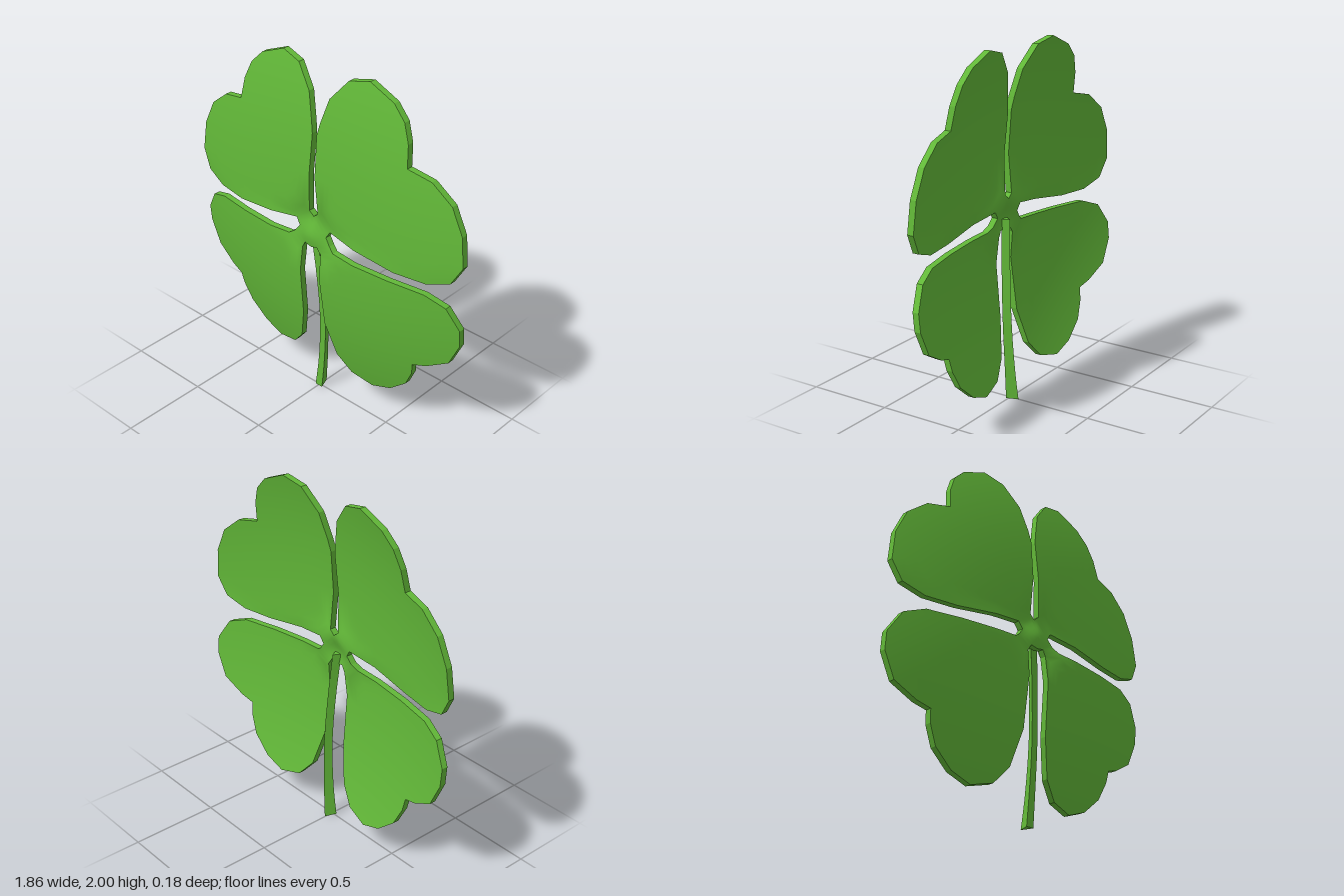
import * as THREE from 'three';
import { toCreasedNormals } from 'three/addons/utils/BufferGeometryUtils.js';

const THICKNESS = 0.037;
const HUB_Y = 1.05;

// Front surface of the clover: a shallow dome falling away from the hub
function depth(x, y) {
  const r = Math.hypot(x, y - HUB_Y);
  const k = THREE.MathUtils.smoothstep(y, 0.95, 1.15);
  const upper = 0.07 - 0.115 * r ** 2.6;
  const lower = 0.09 - 0.15 * r ** 2.2;
  const dip = 0.022 * Math.exp(-(((r - 0.11) / 0.07) ** 2));
  return THREE.MathUtils.lerp(lower, upper, k) - dip;
}

function surfaceNormal(x, y, side) {
  const e = 0.004;
  const dx = (depth(x + e, y) - depth(x - e, y)) / (2 * e);
  const dy = (depth(x, y + e) - depth(x, y - e)) / (2 * e);
  return new THREE.Vector3(-dx, -dy, 1).normalize().multiplyScalar(side).toArray();
}

// Curved plate: rings shrinking from a counter-clockwise outline to a centre point
function plate(outline, [cx, cy], rows) {
  const pos = [], nor = [];
  const at = (i, t) => {
    const [x, y] = outline[i % outline.length];
    return [cx + (x - cx) * t, cy + (y - cy) * t];
  };
  const face = (pts, side) => {
    for (const [x, y] of side > 0 ? pts : [...pts].reverse()) {
      pos.push(x, y, depth(x, y) - (side > 0 ? 0 : THICKNESS));
      nor.push(...surfaceNormal(x, y, side));
    }
  };
  for (let i = 0; i < outline.length; i++) {
    for (let j = 0; j < rows; j++) {
      const t0 = j / rows, t1 = (j + 1) / rows;
      const a = at(i, t0), b = at(i, t1), c = at(i + 1, t1), d = at(i + 1, t0);
      for (const side of [1, -1]) {
        face([a, b, c], side);
        if (j > 0) face([a, c, d], side);
      }
    }
    // Rim wall
    const [ax, ay] = at(i, 1), [bx, by] = at(i + 1, 1);
    const n = new THREE.Vector3(by - ay, ax - bx, 0).normalize().toArray();
    const az = depth(ax, ay), bz = depth(bx, by);
    const A = [ax, ay, az], B = [bx, by, bz];
    const A2 = [ax, ay, az - THICKNESS], B2 = [bx, by, bz - THICKNESS];
    for (const p of [A, A2, B2, A, B2, B]) { pos.push(...p); nor.push(...n); }
  }
  const g = new THREE.BufferGeometry();
  g.setAttribute('position', new THREE.Float32BufferAttribute(pos, 3));
  g.setAttribute('normal', new THREE.Float32BufferAttribute(nor, 3));
  return g;
}

const mirror = (pts) => pts.map(([x, y]) => [-x, y]).reverse();

// Heart-shaped outlines, listed clockwise
const UPPER = [
  [0.03, 1.18], [0.02, 1.4], [0.015, 1.64], [0.03, 1.71], [0.07, 1.85], [0.17, 1.97],
  [0.295, 2.0], [0.45, 1.935], [0.525, 1.86], [0.565, 1.76], [0.58, 1.64], [0.72, 1.61],
  [0.84, 1.515], [0.91, 1.37], [0.93, 1.2], [0.87, 1.09], [0.74, 1.045], [0.55, 1.045],
  [0.3, 1.08], [0.12, 1.105],
];
const LOWER = [
  [0.16, 1.0], [0.3, 0.99], [0.52, 0.983], [0.73, 0.975], [0.85, 0.93], [0.925, 0.81],
  [0.925, 0.71], [0.86, 0.57], [0.73, 0.495], [0.65, 0.47], [0.64, 0.4], [0.59, 0.295],
  [0.48, 0.2], [0.355, 0.155], [0.22, 0.19], [0.135, 0.29], [0.08, 0.5], [0.07, 0.8],
  [0.065, 0.95],
];
const HUB_HALF = [
  [0.03, 1.18], [0.12, 1.105], [0.095, 1.065], [0.125, 1.025], [0.16, 1.0],
  [0.065, 0.95], [0.045, 0.985],
];

export function createModel() {
  const group = new THREE.Group();
  const green = new THREE.MeshStandardMaterial({ color: 0x62b838 });
  green.name = 'leafGreen';
  const add = (name, geometry) => {
    const mesh = new THREE.Mesh(geometry, green);
    mesh.name = name;
    group.add(mesh);
  };

  // Four leaflets
  add('upperLeftLeaflet', plate([...UPPER].reverse(), [0.32, 1.4], 9));
  add('upperRightLeaflet', plate(mirror([...UPPER].reverse()), [-0.32, 1.4], 9));
  add('lowerLeftLeaflet', plate([...LOWER].reverse(), [0.34, 0.72], 9));
  add('lowerRightLeaflet', plate(mirror([...LOWER].reverse()), [-0.34, 0.72], 9));

  // Hub joining the leaflets
  const clockwise = [[0, 1.155], ...HUB_HALF, [0, 0.975], ...mirror(HUB_HALF)];
  add('hub', plate(clockwise.reverse(), [0, HUB_Y], 5));

  // Curved three-sided stem with its ridge to the back
  const path = new THREE.CatmullRomCurve3([
    [0.002, 0, -0.01], [0.022, 0.2, -0.008], [0.035, 0.48, 0],
    [0.022, 0.78, 0.015], [0, 1.04, 0.03],
  ].map((p) => new THREE.Vector3(...p)));
  const stem = new THREE.CylinderGeometry(1, 1, 1, 3, 10, false, Math.PI);
  const p = stem.attributes.position;
  for (let i = 0; i < p.count; i++) {
    const t = p.getY(i) + 0.5;
    const c = path.getPoint(t);
    const r = 0.023 + 0.02 * (t - 0.5) ** 2;
    const depthScale = THREE.MathUtils.lerp(1.6, 1.0, t);
    p.setXYZ(i, c.x + p.getX(i) * r, c.y, c.z + p.getZ(i) * r * depthScale);
  }
  add('stem', toCreasedNormals(stem, 0.6));

  return group;
}
